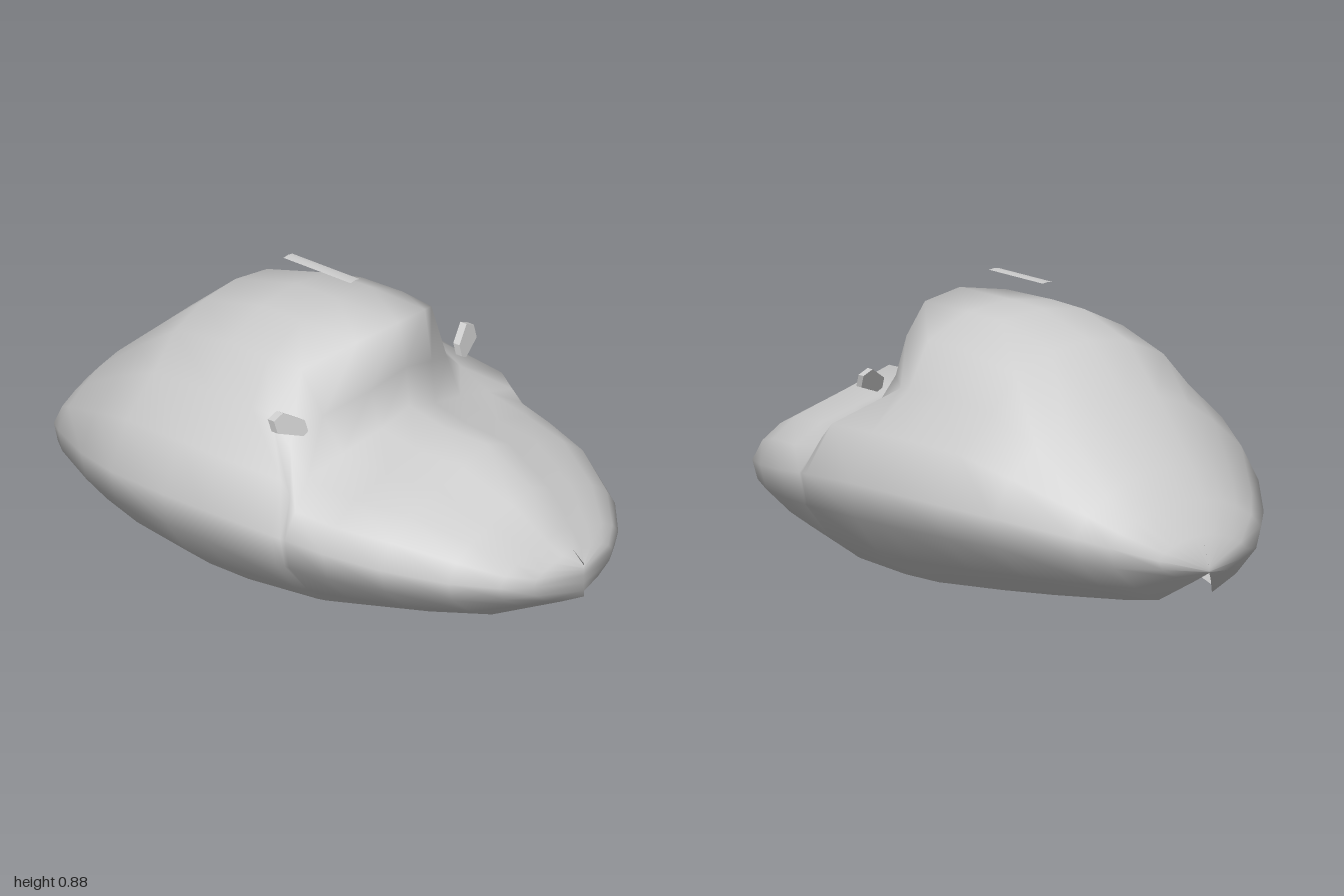
import * as THREE from 'three';
import { mergeVertices } from 'three/addons/utils/BufferGeometryUtils.js';

const material = new THREE.MeshStandardMaterial({ color: 0xcccccc, side: THREE.DoubleSide });

// Upper half-section from the widest point to the centre line, as [x, y] fractions
const HOOD = [[0.9, 0.3], [0.72, 0.54], [0.47, 0.7], [0.22, 0.85], [0, 1]];
const CABIN = [[0.868, 0.296], [0.628, 0.53], [0.512, 0.816], [0.264, 0.96], [0, 1]];
const TAIL = [[0.87, 0.36], [0.67, 0.63], [0.47, 0.84], [0.24, 0.96], [0, 1]];
const TEMPLATES = [HOOD, CABIN, TAIL];
// Lower half-section from the bottom rim up to the widest point
const LOWER = [[0, 0], [0.49, 0.26], [0.9, 0.64], [1, 1]];
// How far each upper point follows the wrap of the windscreen
const WRAP = [0.15, 0.95, 0.65, 0.15, 0];

// Stations: z, rim x, rim y, half width, height of widest point, top y, template blend, wrap
const STATIONS = [
  [1, 0, 0.12, 0, 0.19, 0.23, 0, 0],
  [0.955, 0.05, 0.107, 0.18, 0.2, 0.265, 0, 0],
  [0.9, 0.09, 0.09, 0.27, 0.21, 0.31, 0, 0],
  [0.79, 0.18, 0.058, 0.38, 0.23, 0.415, 0, 0],
  [0.61, 0.26, 0.04, 0.485, 0.255, 0.505, 0, 0],
  [0.43, 0.32, 0.025, 0.545, 0.275, 0.508, 0, 0],
  [0.3, 0.36, 0.013, 0.57, 0.29, 0.535, 0, 0.05],
  [0.285, 0.365, 0.012, 0.573, 0.292, 0.66, 0.5, 0.13],
  [0.255, 0.37, 0.01, 0.58, 0.295, 0.8, 1, 0.2],
  [0, 0.395, 0.005, 0.605, 0.31, 0.803, 1, 0],
  [-0.16, 0.39, 0.005, 0.602, 0.31, 0.8, 1.2, 0],
  [-0.4, 0.33, 0.012, 0.57, 0.3, 0.74, 1.6, 0],
  [-0.58, 0.27, 0.018, 0.5, 0.28, 0.595, 2, 0],
  [-0.8, 0.17, 0.026, 0.355, 0.235, 0.41, 2, 0],
  [-0.88, 0.1, 0.03, 0.285, 0.21, 0.325, 2, 0],
  [-0.967, 0.03, 0.093, 0.165, 0.17, 0.23, 2, 0],
  [-1, 0, 0.12, 0, 0.125, 0.14, 2, 0],
];

// Half-section of one station, from the rim to the centre line
function halfSection([z, xb, yb, w, yw, top, blend, wrap]) {
  const k = Math.min(Math.floor(blend), 1);
  const lower = LOWER.map(([fx, fy]) => [xb + (w - xb) * fx, yb + (yw - yb) * fy, z]);
  const upper = TEMPLATES[k].map(([ax, ay], i) => {
    const [bx, by] = TEMPLATES[k + 1][i];
    const fx = THREE.MathUtils.lerp(ax, bx, blend - k);
    const fy = THREE.MathUtils.lerp(ay, by, blend - k);
    return [w * fx, yw + (top - yw) * fy, z - wrap * WRAP[i]];
  });
  return [...lower, ...upper];
}

// Shell lofted through mirrored stations, open underneath
function bodyGeometry() {
  const rows = STATIONS.map((station) => {
    const half = halfSection(station);
    const mirrored = half.slice(0, -1).reverse().map(([x, y, z]) => [-x, y, z]);
    return [...half, ...mirrored];
  });
  const n = rows[0].length;
  const index = [];
  for (let i = 0; i < rows.length - 1; i++) {
    for (let j = 0; j < n - 1; j++) {
      const a = i * n + j, b = a + n;
      index.push(a, b, a + 1, b, b + 1, a + 1);
    }
  }
  const geometry = new THREE.BufferGeometry();
  geometry.setAttribute('position', new THREE.Float32BufferAttribute(rows.flat(2), 3));
  geometry.setIndex(index);
  const merged = mergeVertices(geometry, 1e-4);
  merged.computeVertexNormals();
  return merged;
}

// Small wedge-shaped wing mirror, sheared back towards its outer top corner
function mirrorGeometry(side) {
  const outline = [[0.35, 0.545], [0.37, 0.535], [0.453, 0.563], [0.455, 0.6], [0.418, 0.616], [0.352, 0.578]];
  const shape = new THREE.Shape(outline.map(([x, y]) => new THREE.Vector2(side * x, y)));
  const geometry = new THREE.ExtrudeGeometry(shape, { depth: 0.025, bevelEnabled: false });
  const p = geometry.attributes.position;
  for (let i = 0; i < p.count; i++) {
    const shear = 0.25 * (Math.abs(p.getX(i)) - 0.36) + 0.35 * (p.getY(i) - 0.55);
    p.setZ(i, p.getZ(i) + 0.172 - shear);
  }
  geometry.computeVertexNormals();
  return geometry;
}

// Thin strip above the roof, slightly arched across its width
function stripGeometry() {
  const geometry = new THREE.PlaneGeometry(0.04, 0.27, 2, 1).rotateX(-Math.PI / 2);
  const p = geometry.attributes.position;
  for (let i = 0; i < p.count; i++) p.setY(i, 0.886 - 0.15 * Math.abs(p.getX(i)));
  geometry.translate(0, 0, -0.055);
  geometry.computeVertexNormals();
  return geometry;
}

export function createModel() {
  const group = new THREE.Group();
  const add = (name, geometry) => {
    const mesh = new THREE.Mesh(geometry, material);
    mesh.name = name;
    group.add(mesh);
  };
  add('bodyShell', bodyGeometry());
  add('leftMirror', mirrorGeometry(1));
  add('rightMirror', mirrorGeometry(-1));
  add('roofStrip', stripGeometry());
  return group;
}
